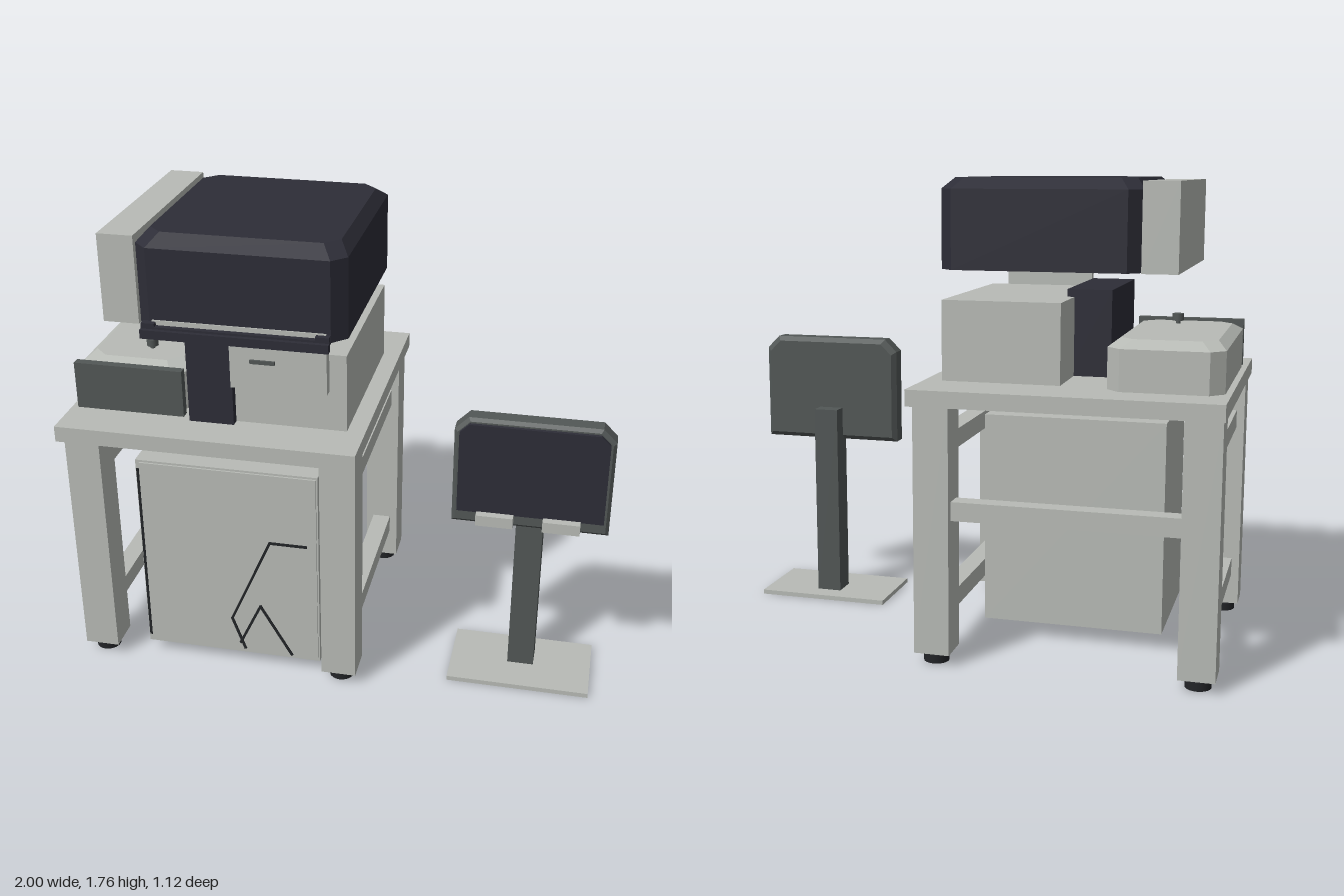
import * as THREE from 'three';

const mat = (name, color) => {
  const m = new THREE.MeshStandardMaterial({ color });
  m.name = name;
  return m;
};

// Rectangle with cut corners, counter-clockwise; t and b are the top and bottom cuts
function cutRect(x0, x1, y0, y1, t, b = t) {
  const p = [];
  if (b) p.push([x0 + b, y0], [x1 - b, y0], [x1, y0 + b]);
  else p.push([x0, y0], [x1, y0]);
  p.push([x1, y1 - t], [x1 - t, y1], [x0 + t, y1], [x0, y1 - t]);
  if (b) p.push([x0, y0 + b]);
  return p;
}

// Flat-faced solid through rings of equal count, each { z, p }
function loft(rings) {
  const pos = [];
  const put = (r, i) => pos.push(r.p[i][0], r.p[i][1], r.z);
  const n = rings[0].p.length;
  for (let k = 0; k < rings.length - 1; k++) {
    const a = rings[k], b = rings[k + 1];
    for (let i = 0; i < n; i++) {
      const j = (i + 1) % n;
      put(a, i); put(a, j); put(b, j);
      put(a, i); put(b, j); put(b, i);
    }
  }
  const first = rings[0], last = rings[rings.length - 1];
  for (let i = 1; i < n - 1; i++) {
    put(first, 0); put(first, i + 1); put(first, i);
    put(last, 0); put(last, i); put(last, i + 1);
  }
  const g = new THREE.BufferGeometry();
  g.setAttribute('position', new THREE.Float32BufferAttribute(pos, 3));
  g.computeVertexNormals();
  return g;
}

// Upright housing with cut corners and a sloped top edge
function housing(x0, x1, z0, z1, yBase, yEdge, yTop, cut, insetX, insetZ) {
  const body = cutRect(x0, x1, -z1, -z0, cut);
  const top = cutRect(x0 + insetX, x1 - insetX, -z1 + insetZ, -z0 - insetZ, cut);
  return loft([{ z: yBase, p: body }, { z: yEdge, p: body }, { z: yTop, p: top }]).rotateX(-Math.PI / 2);
}

export function createModel() {
  const model = new THREE.Group();
  const light = mat('light grey', 0xb8bbb6);
  const grey = mat('dark grey', 0x525756);
  const navy = mat('dark navy', 0x2d2d37);
  const black = mat('black', 0x222427);

  const add = (name, geo, m, parent = model) => {
    const mesh = new THREE.Mesh(geo, m);
    mesh.name = name;
    parent.add(mesh);
    return mesh;
  };
  const box = (name, m, x0, x1, y0, y1, z0, z1, parent = model) => {
    const mesh = add(name, new THREE.BoxGeometry(x1 - x0, y1 - y0, z1 - z0), m, parent);
    mesh.position.set((x0 + x1) / 2, (y0 + y1) / 2, (z0 + z1) / 2);
    return mesh;
  };
  const disc = (name, m, r, y0, y1, x, z, parent = model) => {
    const mesh = add(name, new THREE.CylinderGeometry(r, r, y1 - y0, 20), m, parent);
    mesh.position.set(x, (y0 + y1) / 2, z);
  };
  const group = (name) => {
    const g = new THREE.Group();
    g.name = name;
    model.add(g);
    return g;
  };

  // Table with legs, levelling feet and rails
  const table = group('table');
  box('tableTop', light, -1, 0.112, 0.97, 1.03, -0.555, 0.56, table);
  for (const x of [-0.925, 0.035]) {
    for (const z of [-0.44, 0.44]) {
      box('leg', light, x - 0.066, x + 0.066, 0.045, 0.97, z - 0.066, z + 0.066, table);
      disc('footStem', light, 0.03, 0.03, 0.045, x, z, table);
      disc('foot', black, 0.047, 0.003, 0.033, x, z, table);
    }
    for (const y of [0.2, 0.81]) {
      box('sideRail', light, x - 0.036, x + 0.036, y - 0.035, y + 0.035, -0.375, 0.375, table);
    }
  }
  box('backRail', light, -0.86, -0.03, 0.545, 0.615, -0.475, -0.405, table);

  // Cabinet under the table
  const cabinet = group('cabinet');
  box('cabinetBody', light, -0.745, -0.05, 0.05, 0.865, -0.083, 0.45, cabinet);
  box('cabinetDoor', light, -0.73, -0.056, 0.07, 0.857, 0.45, 0.457, cabinet);
  box('doorGap', black, -0.742, -0.732, 0.08, 0.83, 0.448, 0.454, cabinet);

  // Thin trim lines on the door
  const trims = [
    [[-0.095, 0.57], [-0.235, 0.57], [-0.395, 0.21], [-0.347, 0.075]],
    [[-0.365, 0.1], [-0.28, 0.28], [-0.16, 0.07]],
  ];
  for (const line of trims) {
    for (let i = 0; i < line.length - 1; i++) {
      const [ax, ay] = line[i], [bx, by] = line[i + 1];
      const length = Math.hypot(bx - ax, by - ay) + 0.006;
      const bar = add('doorTrim', new THREE.BoxGeometry(length, 0.01, 0.004), black, cabinet);
      bar.position.set((ax + bx) / 2, (ay + by) / 2, 0.459);
      bar.rotation.z = Math.atan2(by - ay, bx - ax);
    }
  }

  // Machine base, tower and front panel
  box('machineBase', light, -0.395, 0.045, 1.03, 1.325, -0.33, 0.38);
  box('tower', navy, -0.535, -0.367, 1.03, 1.353, -0.092, 0.413);
  box('frontPanel', light, -0.36, -0.01, 1.2, 1.405, 0.413, 0.453);
  box('panelHandle', grey, -0.285, -0.195, 1.301, 1.315, 0.453, 0.461);

  // Upper hood with its front bar and side box
  const hood = group('hood');
  add('hoodShell', housing(-0.67, 0.07, -0.295, 0.515, 1.43, 1.72, 1.76, 0.05, 0.035, 0.06), navy, hood);
  box('hoodStrip', light, -0.61, 0.005, 1.438, 1.462, 0.515, 0.52, hood);
  box('frontBar', navy, -0.645, 0.02, 1.405, 1.437, 0.527, 0.555, hood);
  box('barSupport', navy, -0.64, 0.015, 1.425, 1.445, 0.512, 0.54, hood);
  for (const x of [-0.62, -0.005]) {
    box('barBracket', navy, x - 0.024, x + 0.024, 1.425, 1.457, 0.512, 0.54, hood);
  }
  box('sideBox', light, -0.8, -0.67, 1.43, 1.75, -0.293, 0.487, hood);

  // Low control unit on the table
  const unit = group('controlUnit');
  add('unitCover', housing(-0.978, -0.567, -0.4, 0.36, 1.03, 1.18, 1.207, 0.05, 0.035, 0.07), light, unit);
  box('unitFront', grey, -0.977, -0.565, 1.03, 1.21, 0.355, 0.388, unit);
  disc('knobStem', grey, 0.009, 1.2, 1.225, -0.742, 0.19, unit);
  disc('knob', grey, 0.022, 1.218, 1.245, -0.742, 0.19, unit);

  // Free-standing display
  const stand = group('displayStand');
  box('standBase', light, 0.44, 0.98, 0, 0.018, 0.085, 0.4, stand);
  box('standPost', grey, 0.66, 0.76, 0.018, 0.8, 0.163, 0.26, stand);
  const frame = (z, s, t) => ({ z, p: cutRect(0.423 + s, 0.998 - s, 0.665 + s, 1.093 - s, t, 0) });
  add('displayCase', loft([frame(0.225, 0.018, 0.045), frame(0.243, 0, 0.05), frame(0.3, 0, 0.05), frame(0.312, 0.012, 0.045)]), grey, stand);
  const glass = cutRect(0.443, 0.978, 0.72, 1.075, 0.035, 0);
  add('screen', loft([{ z: 0.308, p: glass }, { z: 0.326, p: glass }]), navy, stand);
  for (const x of [0.585, 0.828]) {
    box('displayButtonBlock', light, x - 0.068, x + 0.068, 0.682, 0.724, 0.305, 0.357, stand);
  }
  return model;
}
